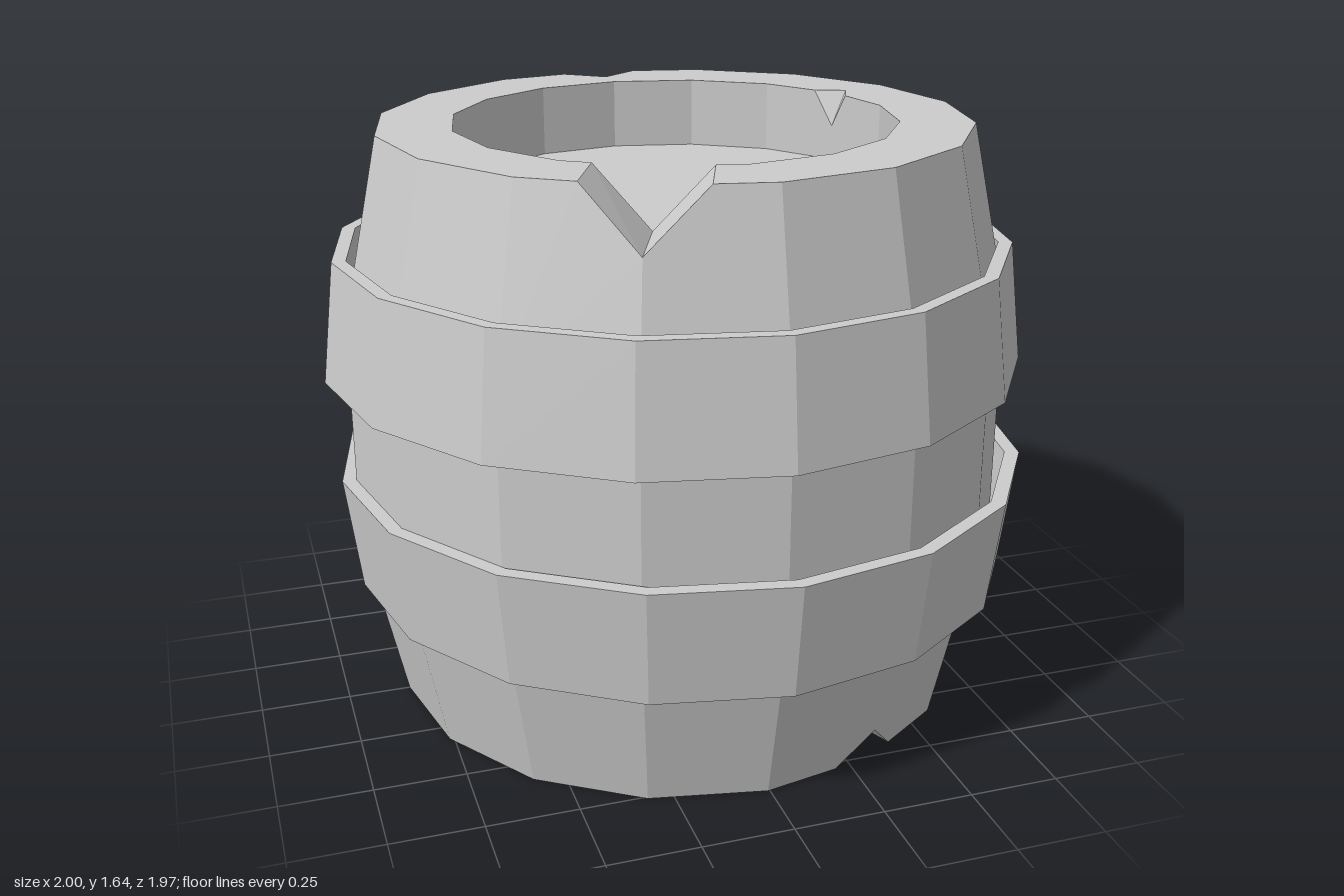
import * as THREE from 'three';

const SIDES = 16;
const MID = 0.82; // height of the barrel's middle

// Point on a 16-sided ring; a fractional k lies on the straight side between two corners.
function ringPoint(r, k, y) {
  const corner = (i) => {
    const a = (i / SIDES) * Math.PI * 2;
    return new THREE.Vector3(r * Math.sin(a), y, r * Math.cos(a));
  };
  const base = Math.floor(k);
  return corner(base).lerp(corner(base + 1), k - base);
}

// Adds a flat convex polygon, turned to face the given direction.
function addPolygon(out, pts, dir) {
  const normal = new THREE.Vector3();
  pts.forEach((p, i) => {
    const q = pts[(i + 1) % pts.length];
    normal.add(new THREE.Vector3().crossVectors(p, q));
  });
  const loop = normal.dot(dir) < 0 ? [...pts].reverse() : pts;
  for (let i = 1; i < loop.length - 1; i++) {
    for (const p of [loop[0], loop[i], loop[i + 1]]) out.push(p.x, p.y, p.z);
  }
}

function makeMesh(name, positions) {
  const geo = new THREE.BufferGeometry();
  geo.setAttribute('position', new THREE.Float32BufferAttribute(positions, 3));
  geo.computeVertexNormals();
  const mesh = new THREE.Mesh(geo, new THREE.MeshStandardMaterial({ color: 0xcccccc, flatShading: true }));
  mesh.name = name;
  return mesh;
}

// A hollow ring whose rim points along sign * y. Each chip sits at a corner k and cuts
// the outer edge (out), the inner edge (inn) or both, to a depth d; tip is where a
// one-sided chip ends on the rim.
function addRing(out, sign, { outer, top, inner, floor }, chips) {
  const [rLow, yLow] = outer;
  const [rTop, yTop] = top;
  const [rIn, rInLow] = inner;
  const P = (r, k, y) => ringPoint(r, k, sign * y);
  const up = new THREE.Vector3(0, sign, 0);
  const outerApex = (k, d) => P(rTop + ((rLow - rTop) * d) / (yTop - yLow), k, yTop - d);
  const innerApex = (k, d) => P(rIn + ((rInLow - rIn) * d) / (yTop - floor), k, yTop - d);

  for (let i = 0; i < SIDES; i++) {
    const outward = P(1, i + 0.5, 0);
    const inward = outward.clone().negate();
    // Edge points at the two ends of this side
    const ends = [[i, 1], [i + 1, -1]].map(([k, s]) => {
      const c = chips[k % SIDES] || {};
      const o = P(rTop, k + s * (c.out || 0), yTop);
      const n = P(rIn, k + s * (c.inn || 0), yTop);
      const tip = c.tip ? [P(c.tip, k, yTop)] : [];
      const oa = c.out ? [outerApex(k, c.d)] : [];
      const na = c.inn ? [innerApex(k, c.d)] : [];
      // Broken face of the chip
      if (c.d) addPolygon(out, [...(c.out ? [o] : []), ...tip, ...(c.inn ? [n] : []), ...na, ...oa], up);
      return { o, n, tip, oa, na };
    });
    const [a, b] = ends;
    addPolygon(out, [P(rLow, i, yLow), P(rLow, i + 1, yLow), ...b.oa, b.o, a.o, ...a.oa], outward);
    addPolygon(out, [P(rInLow, i, floor), P(rInLow, i + 1, floor), ...b.na, b.n, a.n, ...a.na], inward);
    addPolygon(out, [a.n, ...a.tip, a.o, b.o, ...b.tip, b.n], up);
  }
}

// Body: both chipped ends, the recessed lids and the straight middle
function makeBody() {
  const out = [];
  const ends = [
    { sign: 1, rIn: 0.615, chips: {
      15: { out: 0.5, inn: 0.64, d: 0.16 },
      8: { out: 0.36, tip: 0.71, d: 0.11 },
      5: { inn: 0.27, tip: 0.67, d: 0.1 },
    } },
    { sign: -1, rIn: 0.66, chips: {
      1: { out: 0.33, inn: 0.4, d: 0.1 },
      4: { out: 0.3, tip: 0.73, d: 0.1 },
      9: { out: 0.32, tip: 0.72, d: 0.1 },
    } },
  ];
  for (const { sign, rIn, chips } of ends) {
    const floor = 0.62;
    addRing(out, sign, { outer: [0.93, 0.31], top: [0.82, 0.82], inner: [rIn, rIn], floor }, chips);
    const lid = [];
    for (let i = 0; i < SIDES; i++) lid.push(ringPoint(rIn, i, sign * floor));
    addPolygon(out, lid, new THREE.Vector3(0, sign, 0));
  }
  for (let i = 0; i < SIDES; i++) {
    const wall = [[i, -0.31], [i + 1, -0.31], [i + 1, 0.31], [i, 0.31]];
    addPolygon(out, wall.map(([k, y]) => ringPoint(0.93, k, y)), ringPoint(1, i + 0.5, 0));
  }
  return makeMesh('barrelBody', out);
}

// Hoop: a tapered band, closed on its wide edge
function makeHoop(name, sign, yWide, yNarrow, chips) {
  const out = [];
  addRing(out, sign, { outer: [0.987, yWide], top: [0.947, yNarrow], inner: [0.908, 0.945], floor: yWide }, chips);
  for (let i = 0; i < SIDES; i++) {
    const edge = [[0.987, i], [0.987, i + 1], [0.945, i + 1], [0.945, i]];
    addPolygon(out, edge.map(([r, k]) => ringPoint(r, k, sign * yWide)), new THREE.Vector3(0, -sign, 0));
  }
  return makeMesh(name, out);
}

export function createModel() {
  const barrel = new THREE.Group();
  barrel.name = 'barrel';

  const body = makeBody();
  body.position.x = -0.005;

  const upperHoop = makeHoop('upperHoop', 1, 0.155, 0.49, { 5: { out: 0.12, inn: 0.12, d: 0.05 } });
  upperHoop.position.x = -0.013;

  const lowerHoop = makeHoop('lowerHoop', -1, 0.14, 0.465, {});
  lowerHoop.position.x = 0.013;

  barrel.add(body, upperHoop, lowerHoop);
  barrel.children.forEach((part) => { part.position.y = MID; });
  return barrel;
}
